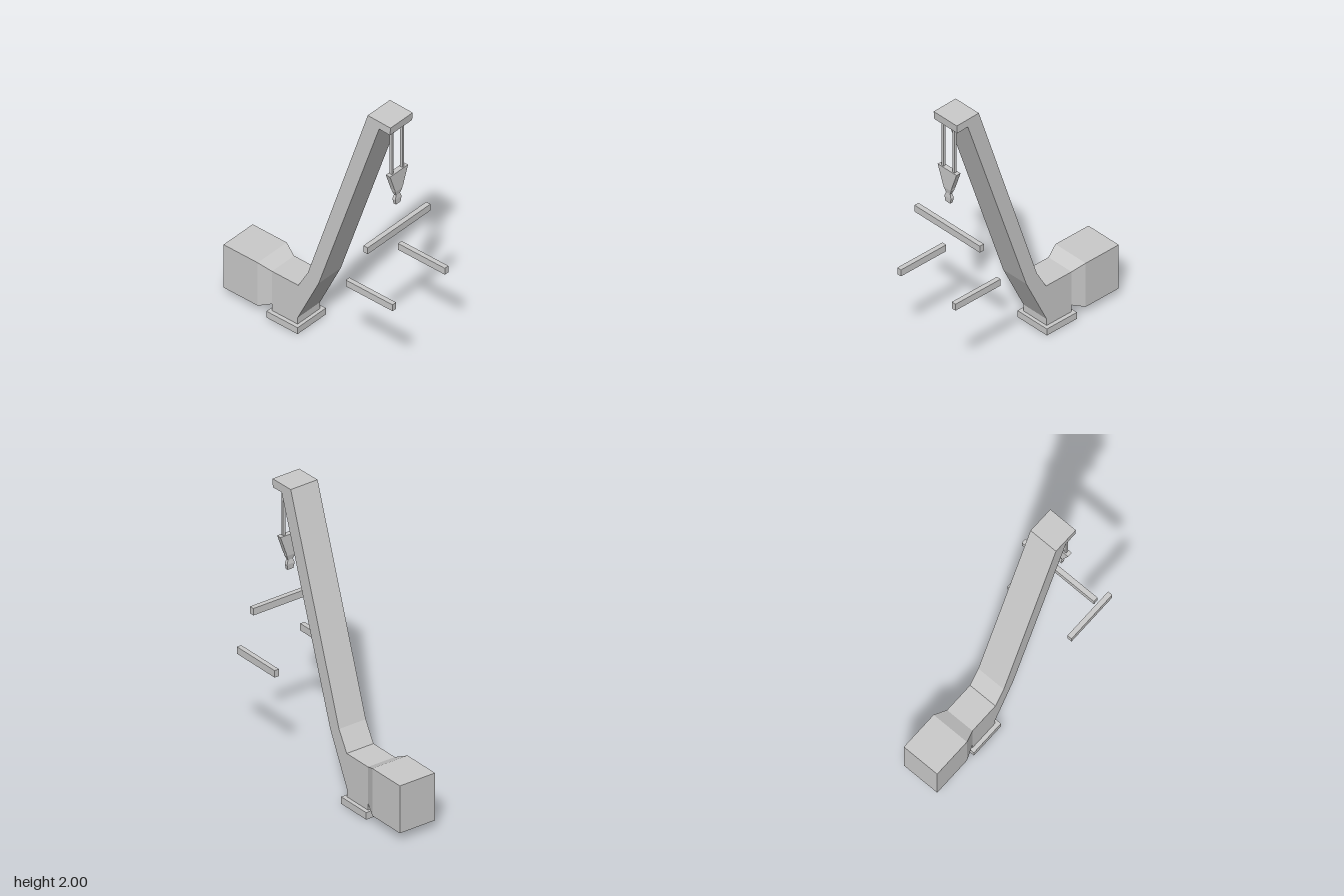
import * as THREE from 'three';

const material = new THREE.MeshStandardMaterial({ color: 0xcccccc, flatShading: true });

function add(parent, name, geometry, x = 0, y = 0, z = 0) {
  const mesh = new THREE.Mesh(geometry, material);
  mesh.name = name;
  mesh.position.set(x, y, z);
  parent.add(mesh);
  return mesh;
}

// Box given by its extents on each axis
function addBox(parent, name, [x0, x1], [y0, y1], [z0, z1]) {
  return add(parent, name, new THREE.BoxGeometry(x1 - x0, y1 - y0, z1 - z0),
    (x0 + x1) / 2, (y0 + y1) / 2, (z0 + z1) / 2);
}

// Capped loft through rectangles [y, x0, x1, z0, z1], listed from low to high y
function loft(sections) {
  const rings = sections.map(([y, x0, x1, z0, z1]) =>
    [[x0, y, z1], [x1, y, z1], [x1, y, z0], [x0, y, z0]]);
  const positions = [];
  const quad = (a, b, c, d) => positions.push(...a, ...b, ...c, ...a, ...c, ...d);
  for (let s = 0; s < rings.length - 1; s++) {
    for (let i = 0; i < 4; i++) {
      const j = (i + 1) % 4;
      quad(rings[s][i], rings[s][j], rings[s + 1][j], rings[s + 1][i]);
    }
  }
  quad(...rings[0].slice().reverse());
  quad(...rings[rings.length - 1]);
  const geometry = new THREE.BufferGeometry();
  geometry.setAttribute('position', new THREE.Float32BufferAttribute(positions, 3));
  geometry.computeVertexNormals();
  return geometry;
}

export function createModel() {
  const crane = new THREE.Group();
  crane.name = 'crane';

  // Foot plate
  addBox(crane, 'basePlate', [-0.41, -0.15], [0, 0.05], [-0.138, 0.132]);

  // Pedestal, cranked boom and overhanging head in one side profile
  const profile = [
    [-0.39, 0.05], [-0.175, 0.05], [-0.175, 0.1], [0, 0.46], [0.505, 1.94],
    [0.595, 1.935], [0.6, 1.995], [0.41, 2], [-0.09, 0.5], [-0.17, 0.36], [-0.39, 0.36],
  ].map(([x, y]) => new THREE.Vector2(x, y));
  const width = 0.212;
  add(crane, 'boom',
    new THREE.ExtrudeGeometry(new THREE.Shape(profile), { depth: width, bevelEnabled: false }),
    0, 0, -0.109);

  // Counterweight, lofted along x and tapering into the pedestal
  const weight = loft([
    [-0.765, -0.4, -0.06, -0.143, 0.135],
    [-0.48, -0.4, -0.06, -0.143, 0.135],
    [-0.39, -0.36, -0.1, -0.109, 0.103],
  ]);
  weight.rotateZ(-Math.PI / 2);
  add(crane, 'counterweight', weight);

  // Hoist: two cables, pulley block and hook
  const hoist = new THREE.Group();
  hoist.name = 'hoist';
  crane.add(hoist);
  for (const z of [-0.049, 0.051]) {
    addBox(hoist, 'cable', [0.555, 0.573], [1.57, 1.945], [z - 0.009, z + 0.009]);
  }
  add(hoist, 'pulleyBlock', loft([
    [1.45, 0.546, 0.581, -0.038, 0.038],
    [1.587, 0.546, 0.581, -0.086, 0.086],
  ]));
  add(hoist, 'hook', loft([
    [1.33, 0.555, 0.575, -0.022, 0.022],
    [1.37, 0.551, 0.576, -0.03, 0.03],
    [1.4, 0.556, 0.573, -0.019, 0.019],
    [1.435, 0.549, 0.579, -0.034, 0.034],
    [1.45, 0.549, 0.579, -0.036, 0.036],
  ]));

  // Hanging spreader: cross beam above two lifting bars
  addBox(crane, 'crossBeam', [0.546, 0.581], [1.1, 1.15], [-0.3, 0.3]);
  for (const z of [-0.25, 0.25]) {
    addBox(crane, 'liftingBar', [0.37, 0.76], [0.72, 0.77], [z - 0.017, z + 0.017]);
  }

  return crane;
}
